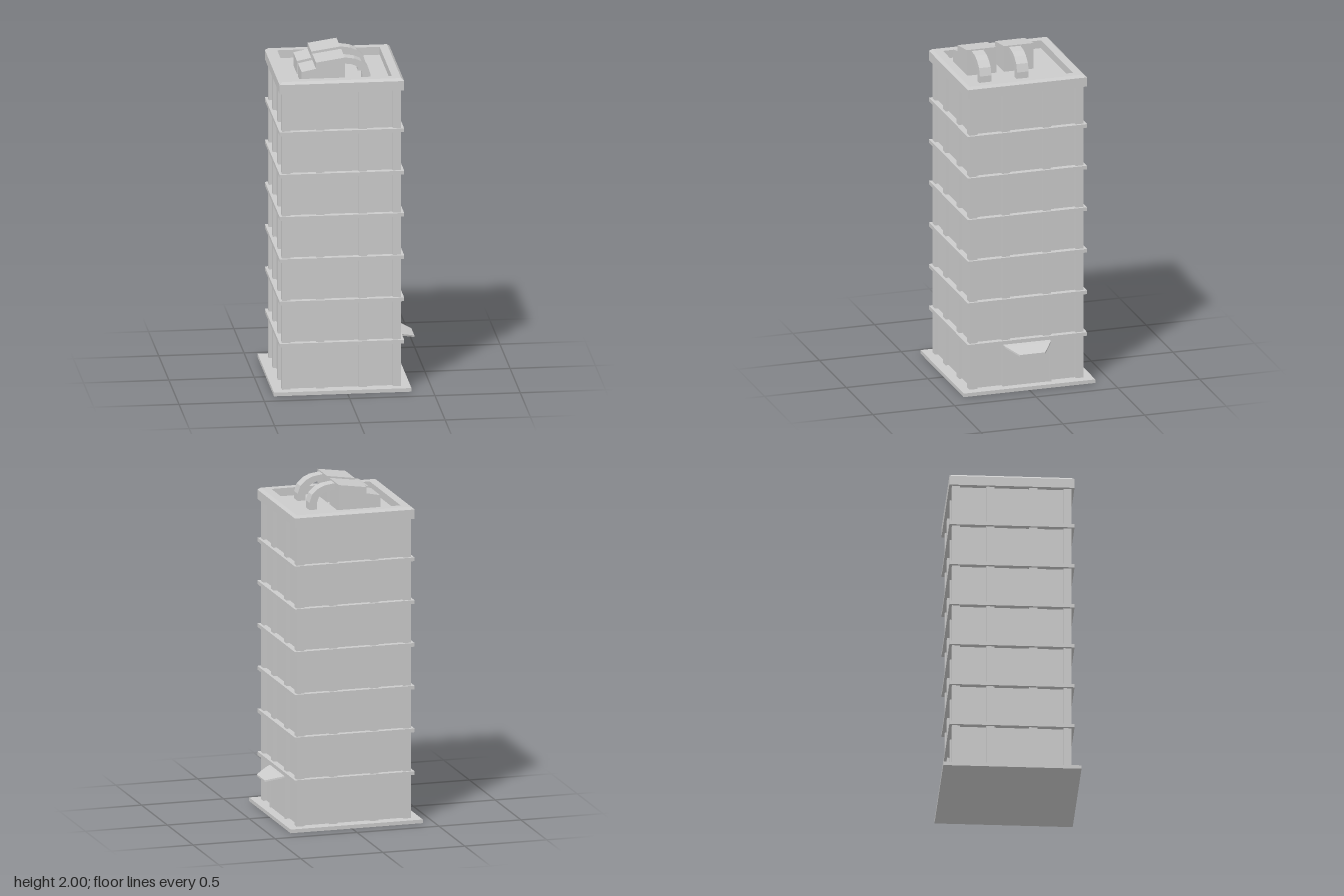
import * as THREE from 'three';

const CX = -0.029; // tower axis
const mat = new THREE.MeshStandardMaterial({ color: 0xcccccc, flatShading: true });

export function createModel() {
  const model = new THREE.Group();

  const add = (name, geo, x = 0, y = 0, z = 0, parent = model) => {
    const m = new THREE.Mesh(geo, mat);
    m.name = name;
    m.position.set(x, y, z);
    parent.add(m);
    return m;
  };
  const box = (name, x0, x1, y0, y1, z0, z1, parent) =>
    add(name, new THREE.BoxGeometry(x1 - x0, y1 - y0, z1 - z0),
      (x0 + x1) / 2, (y0 + y1) / 2, (z0 + z1) / 2, parent);
  // profile in x/y, extruded along z from z0 to z1
  const slab = (name, pts, z0, z1, parent) => {
    const s = new THREE.Shape(pts.map(p => new THREE.Vector2(...p)));
    const g = new THREE.ExtrudeGeometry(s, { depth: z1 - z0, bevelEnabled: false });
    return add(name, g, 0, 0, z0, parent);
  };

  // ground plate and walls
  box('groundPlate', CX - 0.403, CX + 0.403, 0, 0.022, -0.403, 0.403);
  box('walls', CX - 0.329, CX + 0.329, 0.022, 1.83, -0.329, 0.329);

  // corner posts and two pilasters on each face
  const pillars = new THREE.Group();
  pillars.name = 'pillars';
  model.add(pillars);
  const y0 = 0.022, y1 = 1.825;
  for (const a of [-1, 1]) for (const b of [-1, 1]) {
    add('cornerPost', new THREE.BoxGeometry(0.048, y1 - y0, 0.048),
      CX + a * 0.325, (y0 + y1) / 2, b * 0.325, pillars);
    add('frontBackPilaster', new THREE.BoxGeometry(0.048, y1 - y0, 0.04),
      CX + a * 0.125, (y0 + y1) / 2, b * 0.329, pillars);
    add('sidePilaster', new THREE.BoxGeometry(0.04, y1 - y0, 0.048),
      CX + a * 0.329, (y0 + y1) / 2, b * 0.125, pillars);
  }

  // storey bands
  for (let i = 0; i < 6; i++) {
    const y = 0.294 + i * 0.2566;
    box('storeyBand', CX - 0.365, CX + 0.365, y - 0.011, y + 0.011, -0.365, 0.365);
  }

  // chamfered cornice with sunken roof: a four-sided lathe
  const profile = [[0, 1.82], [0.365, 1.82], [0.365, 1.876], [0.349, 1.89],
    [0.3, 1.89], [0.3, 1.842], [0, 1.842]]
    .map(([r, y]) => new THREE.Vector2(r * Math.SQRT2, y));
  add('cornice', new THREE.LatheGeometry(profile, 4, Math.PI / 4), CX);

  // entrance on the +x side
  box('doorPanel', 0.29, 0.322, 0.022, 0.283, -0.148, 0.148);
  for (const s of [-1, 1])
    add('doorJamb', new THREE.BoxGeometry(0.02, 0.25, 0.008), 0.32, 0.147, s * 0.144);
  add('canopy', canopyGeometry());

  // rooftop units, each with an elbow duct
  const roof = 1.84;
  for (const zc of [-0.057, 0.171]) {
    const unit = new THREE.Group();
    unit.name = 'rooftopUnit';
    unit.position.z = zc;
    model.add(unit);
    slab('unitHousing', [[-0.253, roof], [0, roof], [0, 2], [-0.169, 1.975],
      [-0.169, 1.938], [-0.253, 1.92]], -0.091, 0.091, unit);
    const angles = [0, 23.6, 41, 64, 90].map(THREE.MathUtils.degToRad);
    const arc = (rx, ry) => angles.map(t => [rx * Math.sin(t), 1.885 + ry * Math.cos(t)]);
    const duct = [...arc(0.154, 0.107), [0.154, roof], [0.107, roof],
      ...arc(0.107, 0.07).reverse()];
    slab('elbowDuct', duct, -0.01, 0.061, unit);
  }
  return model;
}

// curved, tapering awning built from rows: x, half width, top height
function canopyGeometry() {
  const rows = [[0.31, 0.146, 0.281], [0.345, 0.137, 0.273], [0.39, 0.107, 0.258], [0.43, 0.077, 0.243]];
  const t = 0.01, pos = [], idx = [];
  for (const [x, w, y] of rows)
    pos.push(x, y, w, x, y, -w, x, y - t, -w, x, y - t, w);
  for (let i = 0; i < rows.length - 1; i++)
    for (let k = 0; k < 4; k++) {
      const a = i * 4 + k, b = i * 4 + (k + 1) % 4;
      idx.push(a, a + 4, b, b, a + 4, b + 4);
    }
  const e = (rows.length - 1) * 4;
  idx.push(0, 1, 2, 0, 2, 3, e, e + 2, e + 1, e, e + 3, e + 2);
  const g = new THREE.BufferGeometry();
  g.setAttribute('position', new THREE.Float32BufferAttribute(pos, 3));
  g.setIndex(idx);
  const flat = g.toNonIndexed();
  flat.computeVertexNormals();
  return flat;
}
